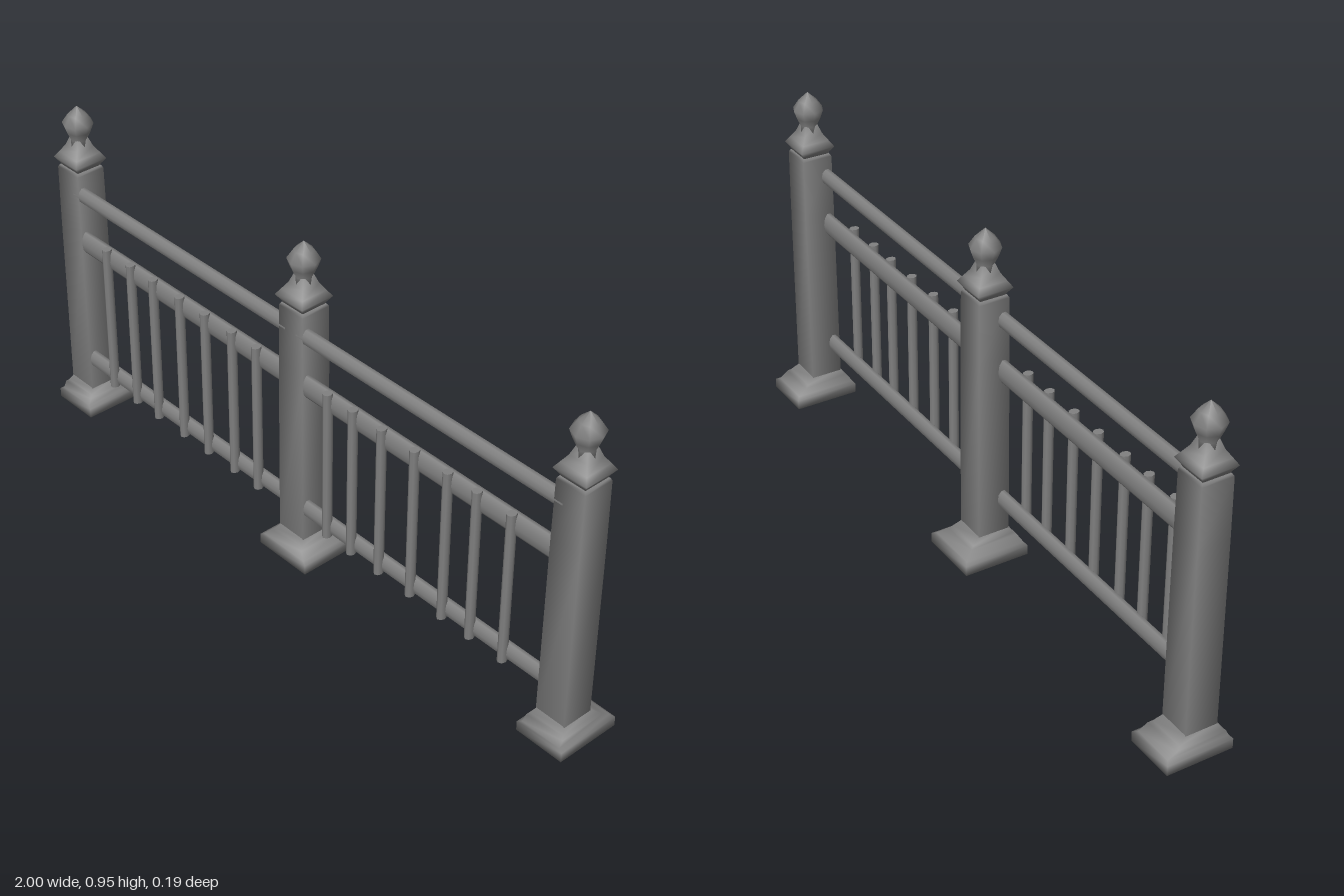
import * as THREE from 'three';

const material = new THREE.MeshStandardMaterial({ color: 0x808080 });
const POST_Z = 0.017;

function add(parent, name, geometry) {
  const mesh = new THREE.Mesh(geometry, material);
  mesh.name = name;
  parent.add(mesh);
  return mesh;
}

// Closed, softly shaded solid from rectangular sections [y, x0, x1, z0, z1], bottom to top
function loft(sections) {
  const pos = [], index = [];
  for (const [y, x0, x1, z0, z1] of sections) {
    pos.push(x0, y, z1, x1, y, z1, x1, y, z0, x0, y, z0);
  }
  for (let s = 0; s < sections.length - 1; s++) {
    for (let i = 0; i < 4; i++) {
      const a = s * 4 + i, b = s * 4 + (i + 1) % 4;
      index.push(a, b, b + 4, a, b + 4, a + 4);
    }
  }
  const t = (sections.length - 1) * 4;
  index.push(0, 2, 1, 0, 3, 2, t, t + 1, t + 2, t, t + 2, t + 3);
  const g = new THREE.BufferGeometry();
  g.setAttribute('position', new THREE.Float32BufferAttribute(pos, 3));
  g.setIndex(index);
  g.computeVertexNormals();
  return g;
}

// Section centred on the post axis
const square = (y, h) => [y, -h, h, POST_Z - h, POST_Z + h];

function createPost(name, x, baseLeft, baseRight) {
  const post = new THREE.Group();
  post.name = name;
  post.position.x = x;

  // Stepped foot, deeper behind the shaft than in front
  add(post, 'foot', loft([
    [0, baseLeft, baseRight, -0.094, 0.095],
    [0.028, baseLeft, baseRight, -0.094, 0.095],
    [0.034, baseLeft + 0.012, baseRight - 0.012, -0.085, 0.09],
    [0.052, -0.06, 0.06, -0.06, 0.08],
    [0.058, -0.054, 0.054, -0.05, 0.072],
    [0.075, -0.044, 0.044, -0.029, 0.064],
  ]));
  add(post, 'shaft', loft([
    square(0.05, 0.046), square(0.6, 0.045), square(0.768, 0.044), square(0.775, 0.04),
  ]));

  // Finial: flared square collar below a pointed bud
  add(post, 'finialCollar', loft([
    square(0.77, 0.034), square(0.782, 0.04), square(0.798, 0.051),
    square(0.815, 0.04), square(0.835, 0.027), square(0.862, 0.017),
  ]));
  const profile = [[0, 0.835], [0.026, 0.835], [0.023, 0.857], [0.034, 0.88],
    [0.043, 0.905], [0.026, 0.93], [0, 0.955]].map(([r, y]) => new THREE.Vector2(r, y));
  add(post, 'finialBud', new THREE.LatheGeometry(profile, 8)).position.z = POST_Z;
  return post;
}

// Horizontal rail with a flattened round section
function addRail(parent, name, x0, x1, y, halfHeight, halfDepth) {
  const g = new THREE.CylinderGeometry(1, 1, x1 - x0, 10);
  g.rotateZ(Math.PI / 2);
  g.scale(1, halfHeight, halfDepth);
  add(parent, name, g).position.set((x0 + x1) / 2, y, 0.045);
}

function createPanel(name, x0, x1, balusters) {
  const panel = new THREE.Group();
  panel.name = name;
  addRail(panel, 'topRail', x0, x1, 0.708, 0.024, 0.017);
  addRail(panel, 'middleRail', x0, x1, 0.56, 0.034, 0.016);
  addRail(panel, 'bottomRail', x0, x1, 0.17, 0.027, 0.016);
  // Balusters stand proud of the rails on the front side
  for (const x of balusters) {
    const g = new THREE.CylinderGeometry(0.012, 0.012, 0.452, 8);
    g.scale(1, 1, 1.2);
    add(panel, 'baluster', g).position.set(x, 0.37, 0.061);
  }
  return panel;
}

export function createModel() {
  const model = new THREE.Group();
  model.name = 'railing';
  model.add(createPost('rightPost', -0.93, -0.07, 0.075));
  model.add(createPost('middlePost', -0.009, -0.09, 0.09));
  model.add(createPost('leftPost', 0.928, -0.075, 0.072));
  model.add(createPanel('rightPanel', -0.91, -0.03,
    [-0.77, -0.665, -0.568, -0.455, -0.35, -0.24, -0.143]));
  model.add(createPanel('leftPanel', 0.01, 0.91,
    [0.13, 0.222, 0.325, 0.44, 0.553, 0.65, 0.762]));
  return model;
}
